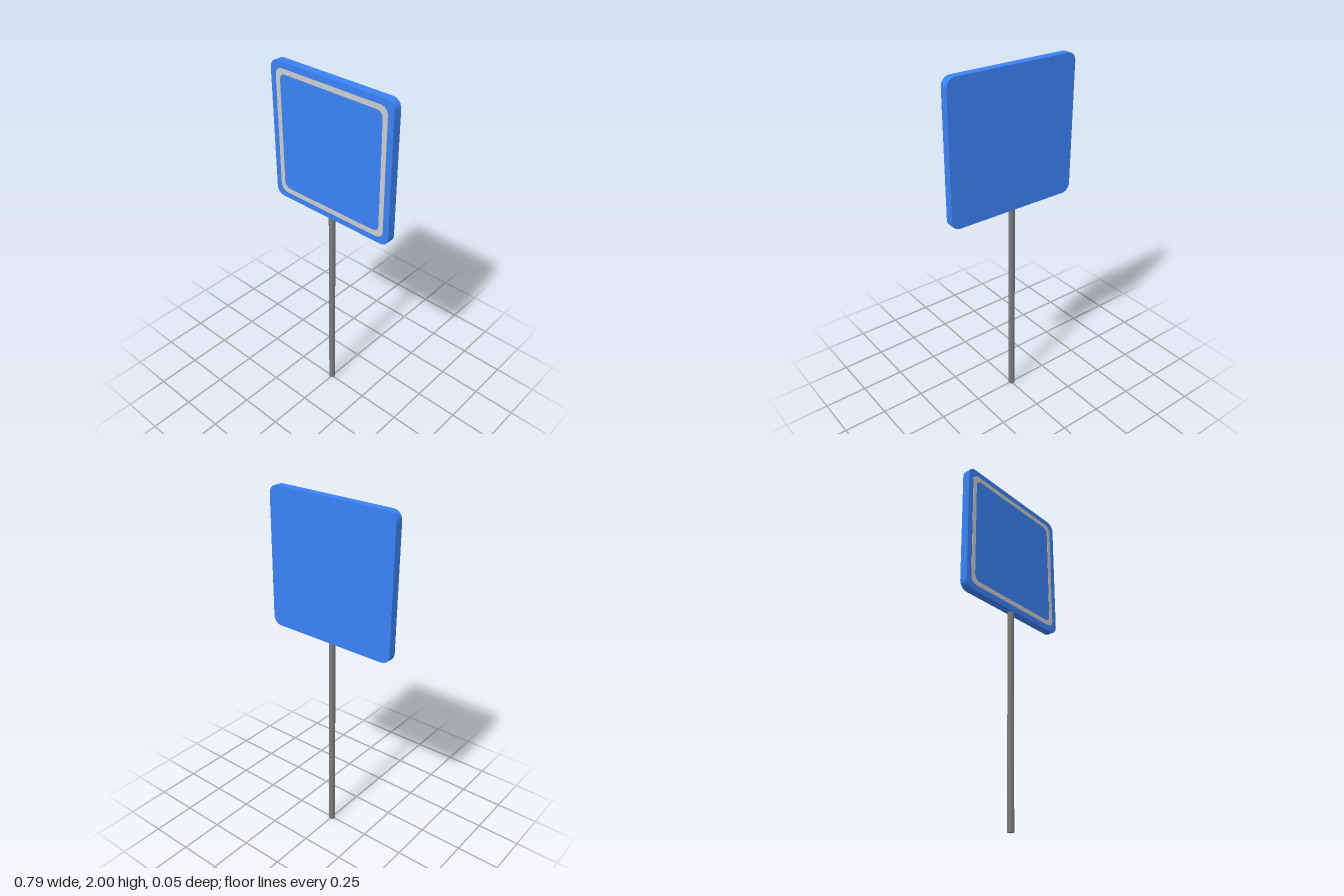
import * as THREE from 'three';

const BLUE = 0x3b82f6, LIGHT = 0xcccccc, DARK = 0x7c7c7c;

// Square outline with rounded corners, centred on the origin
function roundedSquare(half, r, Target = THREE.Shape) {
  const p = new Target();
  const c = half - r;
  p.moveTo(c, -half);
  [[1, -1], [1, 1], [-1, 1], [-1, -1]].forEach(([x, y], i) => {
    const a = -Math.PI / 2 + i * Math.PI / 2;
    p.absarc(x * c, y * c, r, a, a + Math.PI / 2, false);
  });
  p.closePath();
  return p;
}

function slab(name, shape, z0, z1, color) {
  const geo = new THREE.ExtrudeGeometry(shape, { depth: z1 - z0, bevelEnabled: false, curveSegments: 3 });
  geo.translate(0, 0, z0);
  const mesh = new THREE.Mesh(geo, new THREE.MeshStandardMaterial({ color, flatShading: true }));
  mesh.name = name;
  return mesh;
}

export function createModel() {
  const model = new THREE.Group();
  model.name = 'roadSign';

  // Sign board, hung very slightly out of level
  const board = new THREE.Group();
  board.name = 'signBoard';
  board.position.y = 1.607;
  board.rotation.z = 0.007;
  board.add(slab('panel', roundedSquare(0.391, 0.048), -0.027, 0.02, BLUE));

  // Pale border line, a thin ring just proud of the front face
  const ring = roundedSquare(0.356, 0.042);
  ring.holes.push(roundedSquare(0.328, 0.036, THREE.Path));
  board.add(slab('borderLine', ring, 0.018, 0.0215, LIGHT));
  model.add(board);

  // Post, ending inside the board
  const post = new THREE.Mesh(
    new THREE.CylinderGeometry(0.018, 0.018, 1.24, 8),
    new THREE.MeshStandardMaterial({ color: DARK, flatShading: true })
  );
  post.name = 'post';
  post.position.set(-0.002, 0.62, -0.003);
  model.add(post);

  return model;
}
